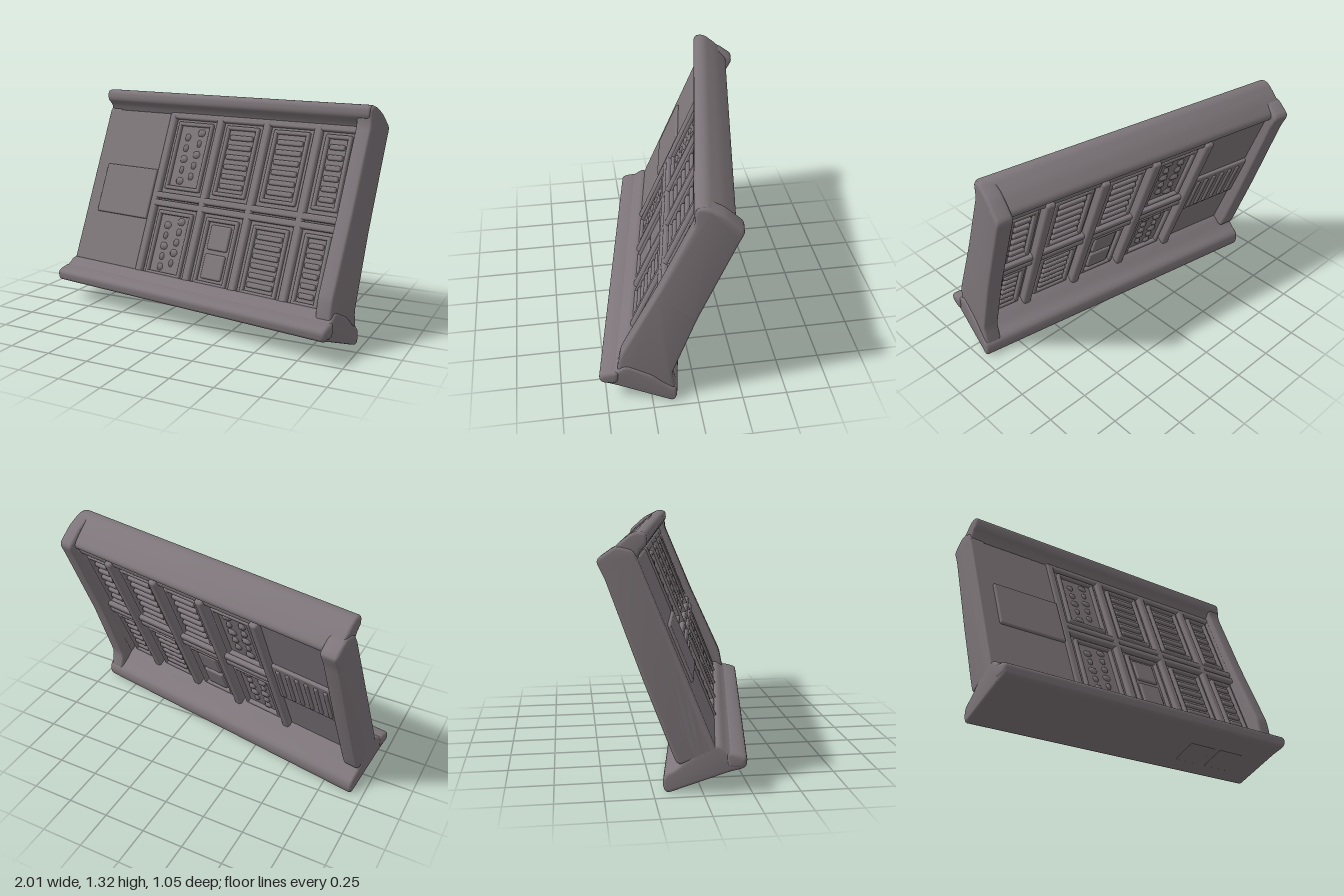
import * as THREE from 'three';
import { toCreasedNormals } from 'three/addons/utils/BufferGeometryUtils.js';
import { RoundedBoxGeometry } from 'three/addons/geometries/RoundedBoxGeometry.js';

const material = new THREE.MeshStandardMaterial({ color: 0x7d7579 });

// Closed outline with softened corners, points given as [depth, height]
function roundedShape(points, r) {
  const p = points.map(([a, b]) => new THREE.Vector2(a, b));
  const shape = new THREE.Shape();
  p.forEach((c, i) => {
    const prev = p[(i + p.length - 1) % p.length], next = p[(i + 1) % p.length];
    const toward = (q) => c.clone().lerp(q, Math.min(0.45, r / c.distanceTo(q)));
    const a = toward(prev), b = toward(next);
    if (i === 0) shape.moveTo(a.x, a.y); else shape.lineTo(a.x, a.y);
    shape.quadraticCurveTo(c.x, c.y, b.x, b.y);
  });
  shape.closePath();
  return shape;
}

// Cross-section swept sideways from x0 to x1
function sweep(parent, name, points, x0, x1, bevel = 0.015) {
  const geometry = new THREE.ExtrudeGeometry(roundedShape(points, 0.03), {
    depth: x1 - x0 - 2 * bevel, curveSegments: 5,
    bevelSize: bevel, bevelThickness: bevel, bevelOffset: -bevel, bevelSegments: 3,
  });
  geometry.rotateY(-Math.PI / 2);
  geometry.translate(x1 - bevel, 0, 0);
  const mesh = new THREE.Mesh(toCreasedNormals(geometry, 0.7), material);
  mesh.name = name;
  parent.add(mesh);
}

// Softened block given by its extents
function block(parent, name, x0, x1, y0, y1, z0, z1, r = 0.01) {
  const mesh = new THREE.Mesh(new RoundedBoxGeometry(x1 - x0, y1 - y0, z1 - z0, 2, r), material);
  mesh.position.set((x0 + x1) / 2, (y0 + y1) / 2, (z0 + z1) / 2);
  mesh.name = name;
  parent.add(mesh);
  return mesh;
}

export function createModel() {
  const model = new THREE.Group();
  model.name = 'leaningPanel';
  const body = new THREE.Group();
  body.name = 'frame';
  body.rotation.y = -0.167;
  model.add(body);

  // Base flange: pointed nose at the front, low lip sloping up to the panel at the back
  sweep(body, 'baseFlange', [
    [0.38, 0.2], [0.38, 0.145], [0.29, 0.12], [-0.03, 0.0], [-0.048, 0.05], [-0.04, 0.1],
    [0.02, 0.135], [0.09, 0.2], [0.235, 0.27], [0.29, 0.225],
  ], -0.95, 0.975);
  // Rounded front lip
  sweep(body, 'frontLip', [[0.385, 0.2], [0.375, 0.145], [0.28, 0.14], [0.27, 0.23], [0.34, 0.22]],
    -0.955, 0.985, 0.02);

  // Top flange: thin sloping cap with a concave underside at the front
  sweep(body, 'topFlange', [
    [-0.12, 1.325], [-0.115, 1.265], [-0.15, 1.235], [-0.18, 1.17], [-0.23, 1.17],
    [-0.315, 1.155], [-0.33, 1.195], [-0.26, 1.27], [-0.18, 1.33],
  ], -0.94, 0.955);

  // Full-depth end wall on the left, flaring into the base, with a horned upper back corner
  sweep(body, 'leftEndWall', [
    [0.285, 0.22], [0.262, 0.34], [0.06, 0.78], [-0.125, 1.22], [-0.125, 1.32], [-0.18, 1.325],
    [-0.27, 1.28], [-0.37, 1.19], [-0.34, 1.12], [-0.15, 0.62], [-0.015, 0.2], [-0.045, 0.04],
    [0.0, 0.02], [0.25, 0.12],
  ], 0.872, 0.965);
  // End wall on the right, flush with the panel
  sweep(body, 'rightEndWall', [
    [0.215, 0.22], [0.01, 0.75], [-0.18, 1.24], [-0.27, 1.26],
    [-0.37, 1.19], [-0.325, 1.1], [-0.145, 0.6], [0.0, 0.22], [0.03, 0.15],
  ], -0.95, -0.85);

  // Small plates under the front of the base
  [0.46, 0.68].forEach((x) => {
    const plate = block(body, 'undersidePlate', x - 0.09, x + 0.09, 0.06, 0.085, 0.06, 0.22, 0.008);
    plate.rotation.x = -0.36;
  });

  // Leaning panel; y runs up its slope and z = 0 is its front plane
  const panel = new THREE.Group();
  panel.name = 'panel';
  panel.position.set(0, 0.2, 0.28);
  panel.rotation.x = -0.385;
  body.add(panel);
  block(panel, 'backing', -0.92, 0.92, -0.02, 1.1, -0.15, -0.053);

  // Plain column with a raised middle plate
  block(panel, 'plainColumn', -0.95, -0.43, 0.0, 1.09, -0.165, -0.035);
  block(panel, 'middlePlate', -0.85, -0.435, 0.4, 0.72, -0.185, -0.02);
  for (let i = 0; i < 6; i++) {
    const x = -0.8 + i * 0.062;
    block(panel, 'plateRib', x, x + 0.025, 0.43, 0.69, -0.196, -0.1, 0.008);
  }

  // Uprights, the double cross rail, sill and header
  const uprights = [-0.41, -0.045, 0.29, 0.63, 0.895];
  uprights.forEach((x) => block(panel, 'upright', x - 0.027, x + 0.027, 0.0, 1.1, -0.205, -0.025, 0.018));
  [0.515, 0.565].forEach((y) => block(panel, 'crossRail', -0.41, 0.9, y - 0.02, y + 0.02, -0.185, -0.025, 0.012));
  block(panel, 'sill', -0.42, 0.9, 0.0, 0.05, -0.18, -0.028, 0.012);
  block(panel, 'header', -0.42, 0.9, 1.06, 1.1, -0.18, -0.028, 0.012);

  // Framed bays, each filled with slats, knobs or two plates
  const rows = [[0.07, 0.475], [0.61, 1.045]];
  rows.forEach(([y0, y1], row) => {
    for (let col = 0; col < 4; col++) {
      const x0 = uprights[col] + 0.05, x1 = uprights[col + 1] - 0.05;
      const bay = new THREE.Group();
      bay.name = 'bay';
      panel.add(bay);
      const t = 0.025;
      [x0, x1 - t].forEach((x) => block(bay, 'bayStile', x, x + t, y0, y1, -0.175, -0.034, 0.01));
      [y0, y1 - t].forEach((y) => block(bay, 'bayRail', x0, x1, y, y + t, -0.175, -0.034, 0.01));
      const h = y1 - y0;
      if (col === 1 && row === 0) {
        [0.1, 0.53].forEach((f) => block(bay, 'bayPlate', x0 + 0.045, x1 - 0.045,
          y0 + f * h, y0 + (f + 0.37) * h, -0.17, -0.04, 0.012));
      } else if (col === 0) {
        // Irregular carved knobs
        for (let i = 0; i < 10; i++) {
          const knob = new THREE.Mesh(new THREE.SphereGeometry(0.04, 10, 8), material);
          knob.name = 'carvedKnob';
          knob.scale.set(1 + 0.3 * Math.sin(i * 5 + row), 1, 1.65);
          knob.position.set(x0 + (i % 2 ? 0.64 : 0.36) * (x1 - x0) + 0.012 * Math.sin(i * 3),
            y0 + h * (0.14 + 0.08 * i), -0.104);
          bay.add(knob);
        }
      } else {
        for (let i = 0; i < 6; i++) {
          const y = y0 + h * (0.11 + 0.138 * i);
          block(bay, 'slat', x0 + 0.035, x1 - 0.035, y, y + 0.032, -0.172, -0.038, 0.01);
        }
      }
    }
  });
  return model;
}
